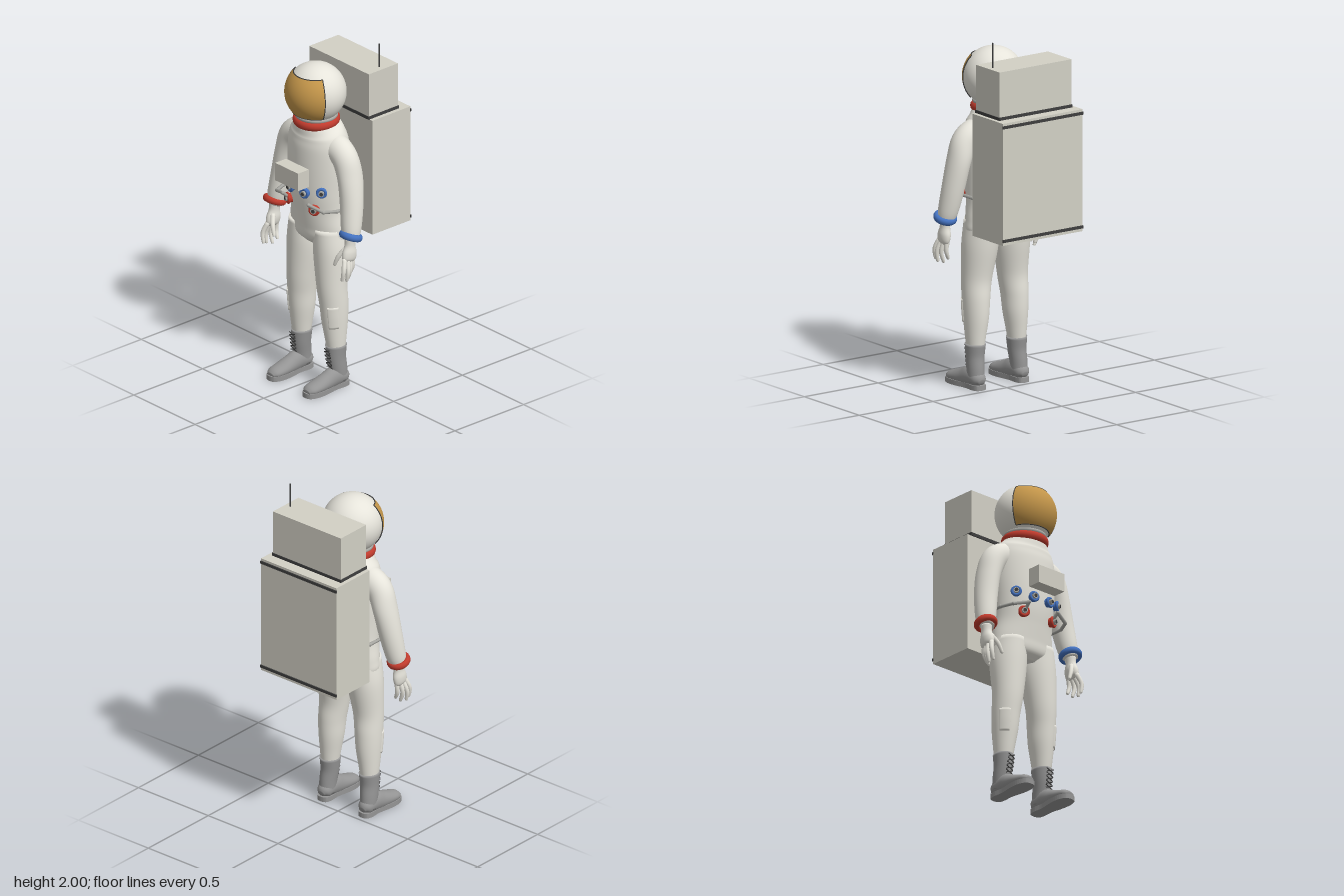
import * as THREE from 'three';

const mat = (name, color) => {
  const m = new THREE.MeshStandardMaterial({ color });
  m.name = name;
  return m;
};

export function createModel() {
  const root = new THREE.Group();
  root.name = 'astronaut';
  const suit = mat('suit white', 0xe6e4db), pack = mat('pack grey white', 0xd2d0c5);
  const gold = mat('visor gold', 0xc4964a), red = mat('red', 0xc23c2e), blue = mat('blue', 0x4472c0);
  const boot = mat('boot grey', 0x959595), metal = mat('hose grey', 0xa9a9a4), dark = mat('dark trim', 0x3f3f3f);

  const add = (name, geo, material, x = 0, y = 0, z = 0, parent = root) => {
    const m = new THREE.Mesh(geo, material);
    m.name = name;
    m.position.set(x, y, z);
    parent.add(m);
    return m;
  };
  const V = (x, y, z) => new THREE.Vector3(x, y, z);

  // Smooth closed body through [x, y, z, radiusA, radiusB] sections; an arc makes a raised patch
  function sweep(pts, { ref = V(0, 0, 1), steps = 6, sides = 32, start = 0, arc = Math.PI * 2 } = {}) {
    const path = new THREE.CatmullRomCurve3(pts.map(p => V(p[0], p[1], p[2])), false, 'catmullrom');
    const radii = new THREE.CatmullRomCurve3(pts.map(p => V(p[3], p[4], 0)), false, 'catmullrom');
    const n = (pts.length - 1) * steps, pos = [], idx = [], w = sides + 1, open = arc < 6;
    for (let i = -1; i <= n + 1; i++) {
      const t = Math.min(Math.max(i / n, 0), 1), cap = i < 0 || i > n ? 0 : 1;
      const c = path.getPoint(t), r = radii.getPoint(t), T = path.getTangent(t);
      const A = T.clone().cross(ref).normalize(), B = T.clone().cross(A);
      for (let j = 0; j <= sides; j++) {
        const a = start + arc * j / sides, k = cap * (open && (j === 0 || j === sides) ? 0.9 : 1);
        const p = c.clone().addScaledVector(A, Math.cos(a) * r.x * k).addScaledVector(B, Math.sin(a) * r.y * k);
        pos.push(p.x, p.y, p.z);
      }
    }
    for (let i = 0; i < n + 2; i++) for (let j = 0; j < sides; j++) {
      const a = i * w + j, b = i * w + (open ? j + 1 : (j + 1) % sides);
      idx.push(a, b, a + w, b, b + w, a + w);
    }
    const g = new THREE.BufferGeometry();
    g.setAttribute('position', new THREE.Float32BufferAttribute(pos, 3));
    g.setIndex(idx);
    g.computeVertexNormals();
    return g;
  }
  const rod = (a, b, r) => new THREE.TubeGeometry(new THREE.LineCurve3(a, b), 1, r, 6);

  // Torso
  add('torso', sweep([
    [0, 1.575, 0.114, 0.108, 0.108], [0, 1.54, 0.112, 0.135, 0.118], [0, 1.5, 0.106, 0.172, 0.13],
    [0, 1.43, 0.1, 0.192, 0.143], [0, 1.3, 0.1, 0.194, 0.146], [0, 1.16, 0.1, 0.186, 0.143],
    [0, 1.05, 0.092, 0.183, 0.136], [0, 0.95, 0.09, 0.195, 0.124], [0, 0.88, 0.093, 0.19, 0.112],
    [0, 0.835, 0.095, 0.1, 0.07]], { sides: 48 }), suit);

  // Collar and helmet
  const lying = (name, r, t, m, x, y, z, tilt = 0) => {
    const ring = add(name, new THREE.TorusGeometry(r, t, 12, 48), m, x, y, z);
    ring.rotation.x = Math.PI / 2 + tilt;
    ring.scale.z = 1.25;
    return ring;
  };
  lying('collar', 0.11, 0.02, red, 0, 1.565, 0.117, 0.04);
  lying('neckRing', 0.11, 0.009, metal, 0, 1.594, 0.117);
  const HY = 1.727, HZ = 0.121, R = 0.172;
  add('helmet', new THREE.SphereGeometry(0.168, 48, 32), suit, 0, HY, HZ);

  // Visor with a dark rim
  const half = 1.15, th0 = 0.79, th1 = 2.29, mid = Math.PI / 2;
  add('visor', new THREE.SphereGeometry(R, 40, 24, mid - half, half * 2, th0, th1 - th0), gold, 0, HY, HZ);
  const onVisor = (u, th) => V(Math.sin(u) * Math.sin(th), Math.cos(th), Math.cos(u) * Math.sin(th)).multiplyScalar(R - 0.001);
  const N = 16, rim = [];
  const edges = [k => [-half + 2 * half * k, th0], k => [half, th0 + (th1 - th0) * k],
    k => [half - 2 * half * k, th1], k => [-half, th1 + (th0 - th1) * k]];
  for (const e of edges) for (let i = 0; i < N; i++) rim.push(onVisor(...e(i / N)));
  add('visorRim', new THREE.TubeGeometry(new THREE.CatmullRomCurve3(rim, true), 160, 0.003, 6, true), dark, 0, HY, HZ);

  // Backpack, upper unit, trim strips and antenna
  add('backpack', new THREE.BoxGeometry(0.54, 0.685, 0.277), pack, 0, 1.2475, -0.1885);
  add('upperPack', new THREE.BoxGeometry(0.486, 0.255, 0.212), pack, 0, 1.7325, -0.154);
  add('upperPackBase', new THREE.BoxGeometry(0.494, 0.018, 0.22), dark, 0, 1.598, -0.154);
  for (const y of [0.93, 1.568])
    add('packStrip', new THREE.BoxGeometry(0.544, 0.016, 0.008), dark, 0, y, -0.329);
  add('antenna', new THREE.CylinderGeometry(0.004, 0.004, 0.15, 10), dark, 0.21, 1.925, -0.154);

  // Chest control box
  add('chestBox', new THREE.BoxGeometry(0.186, 0.105, 0.079), pack, 0, 1.2775, 0.294);

  // Round connector standing on the torso surface
  function connector(name, m, x, y, r, cz, rx, rz) {
    const g = new THREE.Group();
    const z = rz * Math.sqrt(1 - (x / rx) ** 2);
    g.name = name;
    g.position.set(x, y, cz + z);
    g.rotation.y = Math.atan2(x / rx ** 2, z / rz ** 2);
    root.add(g);
    const disc = (n, rad, len, mm, dz) => { add(n, new THREE.CylinderGeometry(rad, rad, len, 20), mm, 0, 0, dz, g).rotation.x = Math.PI / 2; };
    disc('connectorBase', r * 0.8, 0.04, m, 0);
    add('connectorRing', new THREE.TorusGeometry(r * 0.74, r * 0.27, 10, 24), m, 0, 0, 0.02, g);
    disc('connectorCore', r * 0.5, 0.03, metal, 0.022);
    disc('connectorHole', r * 0.32, 0.004, dark, 0.038);
  }

  const palmPts = [[0.308, 0.96, 0.145, 0.03, 0.032], [0.309, 0.92, 0.148, 0.027, 0.032],
    [0.31, 0.88, 0.152, 0.03, 0.045], [0.312, 0.845, 0.158, 0.025, 0.045], [0.313, 0.825, 0.162, 0.012, 0.03]];
  const fingers = [ // base, knuckle, tip
    [[0.312, 0.85, 0.19], [0.33, 0.79, 0.212], [0.322, 0.735, 0.216]],
    [[0.314, 0.845, 0.17], [0.335, 0.78, 0.185], [0.328, 0.726, 0.188]],
    [[0.312, 0.845, 0.15], [0.325, 0.78, 0.16], [0.308, 0.724, 0.163]],
    [[0.308, 0.85, 0.13], [0.312, 0.79, 0.132], [0.295, 0.745, 0.138]],
    [[0.295, 0.9, 0.17], [0.268, 0.85, 0.196], [0.248, 0.8, 0.205]]];

  for (const s of [1, -1]) {
    const flip = pts => pts.map(([x, ...rest]) => [x * s, ...rest]);

    // Arm, cuff and hand
    add('arm', sweep(flip([
      [0.06, 1.43, 0.1, 0.085, 0.078], [0.15, 1.43, 0.1, 0.082, 0.075], [0.215, 1.39, 0.1, 0.073, 0.073],
      [0.254, 1.29, 0.098, 0.063, 0.075], [0.28, 1.15, 0.11, 0.062, 0.067],
      [0.299, 1.02, 0.13, 0.056, 0.058], [0.309, 0.955, 0.143, 0.045, 0.045]])), suit);
    lying('cuff', 0.05, 0.016, s > 0 ? blue : red, s * 0.311, 0.974, 0.143, -0.35);
    add('palm', sweep(flip(palmPts), { sides: 20 }), suit);
    for (const [a, b, c] of fingers) {
      const end = c.map((v, i) => v + (c[i] - b[i]) * 0.12);
      add('finger', sweep(flip([[...a, 0.014, 0.014], [...b, 0.0125, 0.0125], [...c, 0.009, 0.009],
        [...end, 0.004, 0.004]]), { sides: 10, steps: 4 }), suit);
    }

    // Leg with a raised pocket
    add('leg', sweep(flip([
      [0.1, 0.94, 0.093, 0.09, 0.11], [0.108, 0.8, 0.101, 0.1, 0.104], [0.121, 0.62, 0.113, 0.085, 0.087],
      [0.13, 0.5, 0.106, 0.075, 0.083], [0.133, 0.4, 0.102, 0.068, 0.077],
      [0.138, 0.3, 0.1, 0.056, 0.064], [0.141, 0.22, 0.098, 0.046, 0.052]])), suit);
    add('legPocket', sweep(flip([
      [0.13, 0.5, 0.106, 0.08, 0.088], [0.1315, 0.435, 0.104, 0.077, 0.085], [0.1345, 0.37, 0.102, 0.07, 0.079]]),
    { sides: 14, start: THREE.MathUtils.degToRad(s > 0 ? 198 : 292), arc: 0.87 }), suit);

    // Boot: shaft, foot and sole
    add('bootShaft', sweep(flip([
      [0.14, 0.25, 0.099, 0.056, 0.062], [0.142, 0.18, 0.099, 0.05, 0.056],
      [0.146, 0.11, 0.09, 0.046, 0.054], [0.147, 0.04, 0.082, 0.043, 0.05]])), boot);
    add('bootFoot', sweep(flip([
      [0.147, 0.045, 0.028, 0.015, 0.02], [0.147, 0.055, 0.055, 0.042, 0.042], [0.147, 0.065, 0.12, 0.058, 0.046],
      [0.147, 0.053, 0.18, 0.05, 0.048], [0.147, 0.043, 0.24, 0.038, 0.05],
      [0.147, 0.036, 0.295, 0.028, 0.044], [0.147, 0.03, 0.322, 0.014, 0.025]]), { ref: V(1, 0, 0) }), boot);
    const half = [[0.03, 0.034], [0.04, 0.07], [0.037, 0.13], [0.05, 0.22], [0.048, 0.285], [0.03, 0.322]];
    const outline = [[0, 0.025], ...half, [0, 0.331], ...half.map(([x, z]) => [-x, z]).reverse()];
    const shape = new THREE.Shape(new THREE.CatmullRomCurve3(outline.map(([x, z]) => V(x, -z, 0)), true)
      .getPoints(56).slice(0, -1).map(p => new THREE.Vector2(p.x, p.y)));
    add('bootSole', new THREE.ExtrudeGeometry(shape, { depth: 0.028, bevelEnabled: false }), boot, s * 0.147).rotation.x = -Math.PI / 2;

    // Crossed laces
    for (let i = 0; i < 5; i++) {
      const y = 0.125 + i * 0.023, z = 0.15 + i * 0.0035, x = s * (0.146 - i * 0.001);
      for (const d of [-1, 1])
        add('lace', rod(V(x - d * 0.024, y, z), V(x + d * 0.024, y + 0.02, z + 0.002), 0.0028), dark);
    }

    // Chest connectors and the hose running round to the backpack
    connector('blueConnector', blue, s * 0.137, 1.195, 0.031, 0.1, 0.187, 0.143);
    connector('blueConnector', blue, s * 0.053, 1.176, 0.031, 0.1, 0.187, 0.143);
    connector('redConnector', red, s * 0.098, 1.082, 0.033, 0.094, 0.184, 0.138);
    const hose = [[0.1, 1.095, 0.235], [0.105, 1.125, 0.268], [0.19, 1.1, 0.235], [0.222, 1.095, 0.165],
      [0.222, 1.095, 0.01], [0.175, 1.095, -0.052]].map(p => V(p[0] * s, p[1], p[2]));
    for (let i = 1; i < hose.length; i++) {
      add('hose', rod(hose[i - 1], hose[i], 0.01), metal);
      add('hoseJoint', new THREE.SphereGeometry(0.0105, 10, 8), metal, ...hose[i].toArray());
    }
  }
  return root;
}
